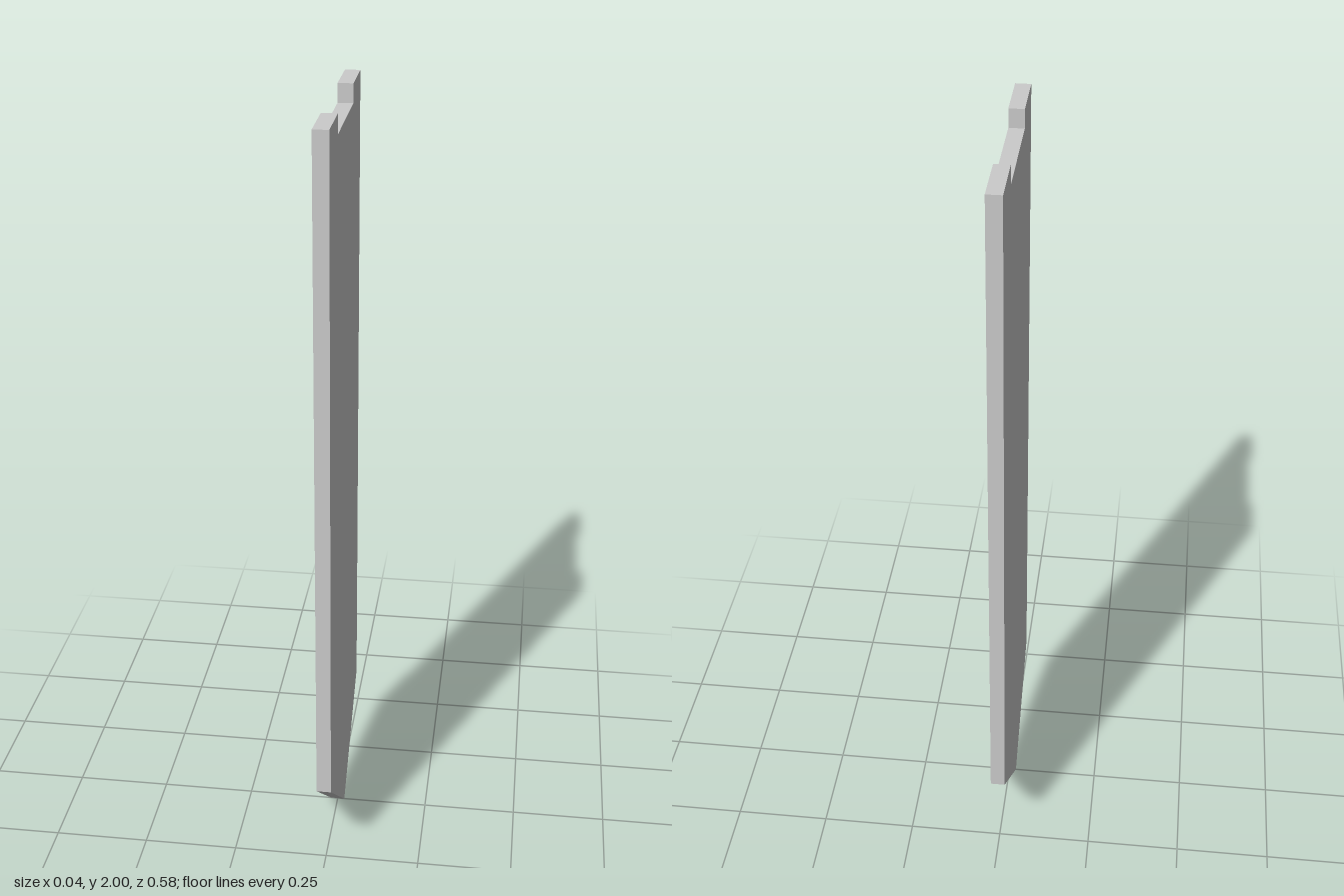
import * as THREE from 'three';

const HALF_WIDTH = 0.29, THICKNESS = 0.038, HEIGHT = 2;
const SHOULDER = 0.247;                        // where the point begins
const NOTCH_HALF = 0.145, NOTCH_FLOOR = 1.953; // slot in the top edge

export function createModel() {
  const group = new THREE.Group();
  group.name = 'pointedBoard';

  // One half of the outline, from the bottom point up to the notch; the other half is mirrored
  const half = [
    [HALF_WIDTH, SHOULDER],
    [HALF_WIDTH, HEIGHT],
    [NOTCH_HALF, HEIGHT],
    [NOTCH_HALF, NOTCH_FLOOR],
  ];
  const mirrored = half.map(([u, y]) => [-u, y]).reverse();
  const outline = [[0, 0], ...half, ...mirrored].map(([u, y]) => new THREE.Vector2(u, y));

  // Flat board, turned so its broad faces look along x
  const geometry = new THREE.ExtrudeGeometry(new THREE.Shape(outline), {
    depth: THICKNESS,
    bevelEnabled: false,
  });
  geometry.translate(0, 0, -THICKNESS / 2);
  geometry.rotateY(Math.PI / 2);

  const board = new THREE.Mesh(
    geometry,
    new THREE.MeshStandardMaterial({ color: 0xcccccc, flatShading: true })
  );
  board.name = 'board';
  group.add(board);
  return group;
}
